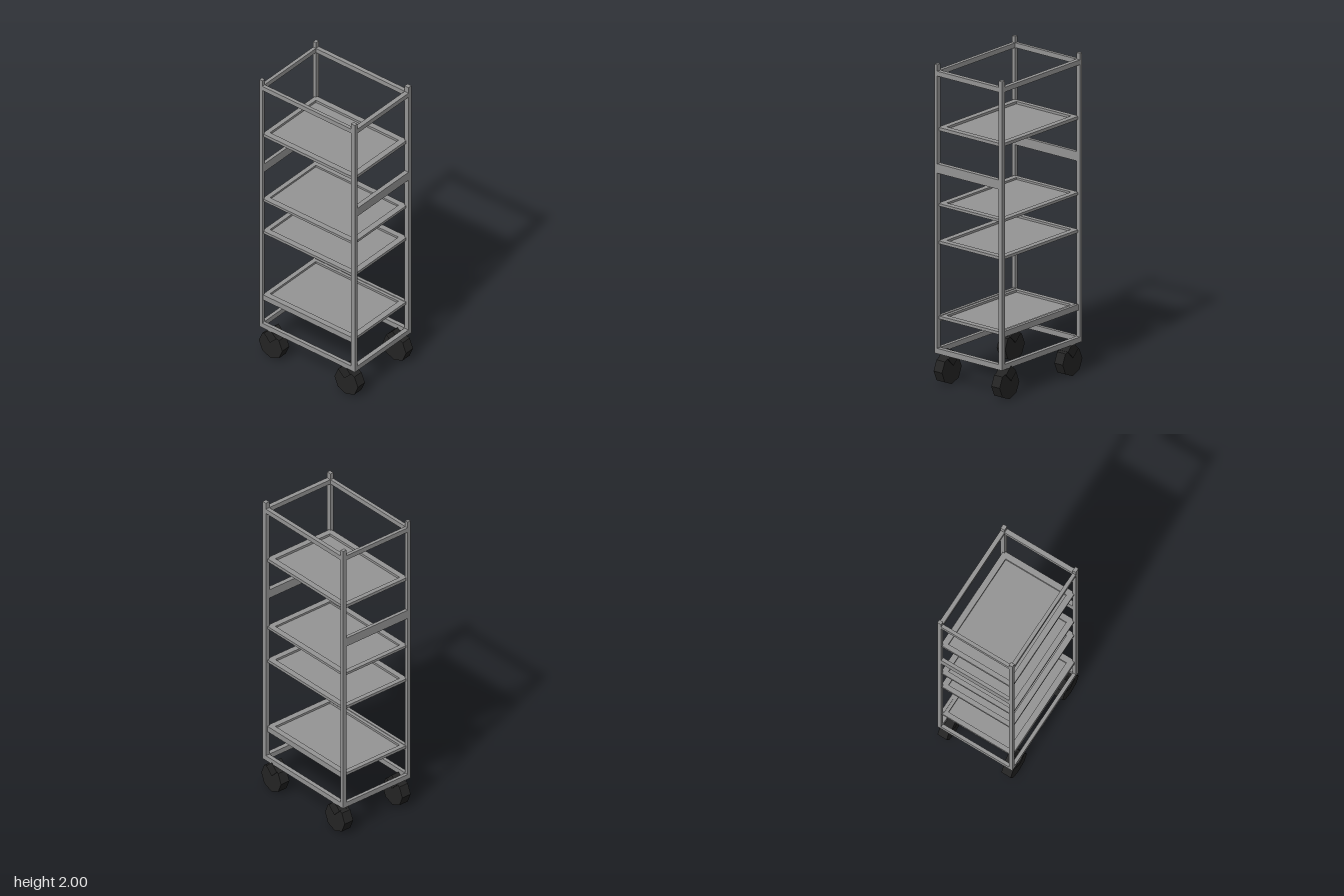
import * as THREE from 'three';

const metal = new THREE.MeshStandardMaterial({ color: 0x959595, flatShading: true });
const rubber = new THREE.MeshStandardMaterial({ color: 0x242424, flatShading: true });

// Outer and inner faces of the four corner posts
const X = { out0: -0.264, in0: -0.241, in1: 0.235, out1: 0.262 };
const Z = { out0: -0.37, in0: -0.348, in1: 0.334, out1: 0.364 };

// Trays reach halfway into the posts
const T = { x0: -0.252, x1: 0.247, z0: -0.358, z1: 0.346 };

// Box given by its limits on each axis
function bar(name, x0, x1, y0, y1, z0, z1) {
  const mesh = new THREE.Mesh(new THREE.BoxGeometry(x1 - x0, y1 - y0, z1 - z0), metal);
  mesh.position.set((x0 + x1) / 2, (y0 + y1) / 2, (z0 + z1) / 2);
  mesh.name = name;
  return mesh;
}

// Polygonal disc with its axis along x and a corner pointing up
function disc(name, sides, radius, width, x, y, z) {
  const geo = new THREE.CylinderGeometry(radius, radius, width, sides);
  geo.rotateZ(Math.PI / 2);
  const mesh = new THREE.Mesh(geo, rubber);
  mesh.position.set(x, y, z);
  mesh.name = name;
  return mesh;
}

// Shallow tray: raised rim cut from a shape, with a floor below it
function tray(y0, y1) {
  const group = new THREE.Group();
  group.name = 'tray';
  const floorTop = y0 + (y1 - y0) * 0.25;
  group.add(bar('trayFloor', T.x0, T.x1, y0, floorTop, T.z0, T.z1));

  const rect = (path, x0, x1, z0, z1) =>
    path.moveTo(x0, -z0).lineTo(x0, -z1).lineTo(x1, -z1).lineTo(x1, -z0).closePath();
  const shape = new THREE.Shape();
  rect(shape, T.x0, T.x1, T.z0, T.z1);
  const hole = new THREE.Path();
  rect(hole, -0.215, 0.21, -0.328, 0.307);
  shape.holes.push(hole);
  const geo = new THREE.ExtrudeGeometry(shape, { depth: y1 - floorTop, bevelEnabled: false });
  geo.rotateX(-Math.PI / 2).translate(0, floorTop, 0);
  const rim = new THREE.Mesh(geo, metal);
  rim.name = 'trayRim';
  group.add(rim);
  return group;
}

export function createModel() {
  const cart = new THREE.Group();
  cart.name = 'trolley';
  const sidesX = [[X.out0, X.in0], [X.in1, X.out1]];
  const sidesZ = [[Z.out0, Z.in0], [Z.in1, Z.out1]];

  // Corner posts
  for (const x of sidesX) for (const z of sidesZ) cart.add(bar('post', ...x, 0.2, 2, ...z));

  // Bottom and top frames
  for (const [name, y0, y1] of [['bottomRail', 0.2, 0.233], ['topRail', 1.93, 1.96]]) {
    for (const z of sidesZ) cart.add(bar(name, X.in0, X.in1, y0, y1, ...z));
    for (const x of sidesX) cart.add(bar(name, ...x, y0, y1, Z.in0, Z.in1));
  }

  // Wide cross rails on front and back
  for (const z of sidesZ) cart.add(bar('crossRail', X.in0, X.in1, 1.325, 1.383, ...z));

  // Side rails carrying the lowest tray
  for (const [x0, x1] of [[-0.255, -0.235], [0.229, 0.25]])
    cart.add(bar('sideRail', x0, x1, 0.397, 0.434, Z.in0, Z.in1));

  // Trays
  for (const [y0, y1] of [[0.412, 0.43], [0.88, 0.898], [1.115, 1.131], [1.585, 1.605]])
    cart.add(tray(y0, y1));

  // Casters: wheel and swivel housing at each corner
  for (const [x, z, housingZ] of [
    [-0.223, 0.29, 0.28], [0.225, 0.29, 0.28],
    [-0.225, -0.289, -0.289], [0.223, -0.289, -0.289],
  ]) {
    const caster = new THREE.Group();
    caster.name = 'caster';
    caster.add(disc('wheel', 8, 0.09, 0.065, x, 0.093, z));
    caster.add(disc('casterHousing', 4, 0.048, 0.077, x, 0.165, housingZ));
    cart.add(caster);
  }
  return cart;
}
